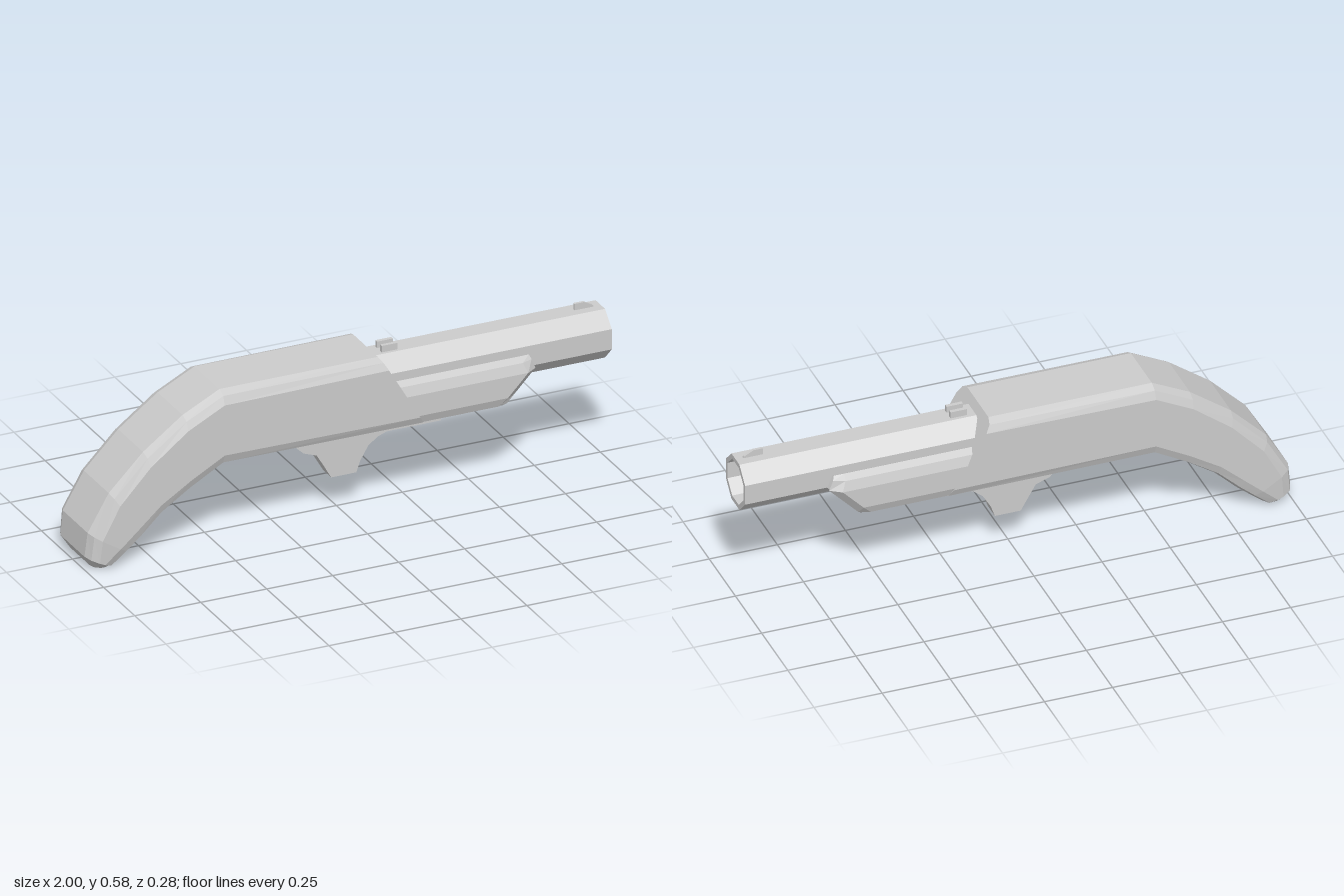
import * as THREE from 'three';

const material = new THREE.MeshStandardMaterial({ color: 0xcccccc, flatShading: true, side: THREE.DoubleSide });

function add(group, name, geometry) {
  const mesh = new THREE.Mesh(geometry, material);
  mesh.name = name;
  group.add(mesh);
  return mesh;
}

// Skin a list of matching sections running towards +x; the caps are cut from the 2D profile
function loft(sections, profile) {
  const pos = [];
  const tri = (...pts) => pts.forEach((p) => pos.push(p.x, p.y, p.z));
  const n = profile.length;
  for (let i = 0; i < sections.length - 1; i++) {
    for (let j = 0; j < n; j++) {
      const a = sections[i][j], b = sections[i][(j + 1) % n];
      const c = sections[i + 1][(j + 1) % n], d = sections[i + 1][j];
      tri(a, d, c);
      tri(a, c, b);
    }
  }
  const first = sections[0], last = sections[sections.length - 1];
  for (const [a, b, c] of THREE.ShapeUtils.triangulateShape(profile, [])) {
    tri(first[a], first[b], first[c]);
    tri(last[a], last[c], last[b]);
  }
  const g = new THREE.BufferGeometry();
  g.setAttribute('position', new THREE.Float32BufferAttribute(pos, 3));
  g.computeVertexNormals();
  return g;
}

// Close a half profile by mirroring it across the centre line
const mirrored = (half) => [...half, ...half.slice().reverse().map(([z, y]) => [-z, y])]
  .map(([z, y]) => new THREE.Vector2(z, y));

// The slanted shoulder where the stock steps down to the fore-end
const shoulderX = (y) => 0.11 + (0.585 - y) * 0.589;

function stockGeometry() {
  // Top x, top y, bottom x, bottom y, width factor
  const stations = [
    [-0.972, 0.005, -0.905, 0, 0.78],
    [-1, 0.05, -0.9, 0.005, 0.96],
    [-0.99, 0.14, -0.845, 0.05, 1],
    [-0.91, 0.275, -0.795, 0.092, 1],
    [-0.78, 0.405, -0.72, 0.165, 1],
    [-0.63, 0.515, -0.615, 0.235, 1],
    [-0.49, 0.585, -0.49, 0.305, 1],
    [0.11, 0.585, shoulderX(0.305), 0.305, 1],
  ];
  const edge = [[0.1, 0], [0.13, 0.014], [0.142, 0.045]]; // half width, distance from rim
  const sections = stations.map(([tx, ty, bx, by, w]) => {
    const top = new THREE.Vector2(tx, ty), bottom = new THREE.Vector2(bx, by);
    const length = top.distanceTo(bottom);
    const k = Math.min(1, length * 0.4 / 0.045);
    const at = (z, t) => {
      const p = bottom.clone().lerp(top, t);
      return new THREE.Vector3(p.x, p.y, z * w);
    };
    const right = [
      ...edge.map(([z, d]) => at(z, d * k / length)),
      ...edge.slice().reverse().map(([z, d]) => at(z, 1 - d * k / length)),
    ];
    const left = right.slice().reverse().map((p) => new THREE.Vector3(p.x, p.y, -p.z));
    return [...right, ...left];
  });
  return loft(sections, sections[6].map((p) => new THREE.Vector2(p.z, p.y)));
}

function foreEndGeometry() {
  // U-shaped profile that cradles the barrel
  const profile = mirrored([
    [0.1, 0.305], [0.13, 0.319], [0.142, 0.35], [0.142, 0.43],
    [0.13, 0.466], [0.104, 0.48], [0.097, 0.476], [0.094, 0.43], [0.094, 0.374],
  ]);
  const frontX = (y) => (y < 0.43 ? 0.58 + (y - 0.305) * 0.96 : 0.7 - (y - 0.43) * 0.4);
  const section = (x, maxZ) => profile.map((p) =>
    new THREE.Vector3(x(p.y), p.y, THREE.MathUtils.clamp(p.x, -maxZ, maxZ)));
  return loft([
    section(shoulderX, 1),
    section((y) => frontX(y) - 0.04, 1),
    section(frontX, 0.115),
  ], profile);
}

function octagon(radius, Type) {
  const pts = [];
  for (let i = 0; i < 8; i++) {
    const a = (i + 0.5) * Math.PI / 4;
    pts.push(new THREE.Vector2(radius * Math.cos(a), radius * Math.sin(a)));
  }
  return new Type(pts);
}

// Side profile in x and y, extruded evenly about z = 0
function slab(points, width) {
  const shape = new THREE.Shape(points.map(([x, y]) => new THREE.Vector2(x, y)));
  return new THREE.ExtrudeGeometry(shape, { depth: width, bevelEnabled: false }).translate(0, 0, -width / 2);
}

const rectangle = (x0, x1, z, Type) => new Type([[x0, -z], [x1, -z], [x1, z], [x0, z]]
  .map(([x, y]) => new THREE.Vector2(x, y)));

export function createModel() {
  const model = new THREE.Group();
  model.name = 'shortGun';

  add(model, 'stock', stockGeometry());
  add(model, 'foreEnd', foreEndGeometry());

  // Hollow eight-sided barrel
  const ring = octagon(0.1, THREE.Shape);
  ring.holes.push(octagon(0.0818, THREE.Path));
  add(model, 'barrel', new THREE.ExtrudeGeometry(ring, { depth: 0.87, bevelEnabled: false })
    .rotateY(Math.PI / 2).translate(0.13, 0.4675, 0));

  // Trigger block with a slotted bar ahead of it
  add(model, 'triggerBlock', slab([
    [-0.183, 0.31], [-0.183, 0.28], [-0.14, 0.24], [-0.09, 0.222], [-0.065, 0.18], [-0.035, 0.128],
    [0.06, 0.128], [0.075, 0.17], [0.105, 0.22], [0.14, 0.247], [0.175, 0.26], [0.175, 0.31],
  ], 0.066));
  const bar = rectangle(0.175, 0.38, 0.033, THREE.Shape);
  bar.holes.push(rectangle(0.22, 0.335, 0.014, THREE.Path));
  add(model, 'slottedBar', new THREE.ExtrudeGeometry(bar, { depth: 0.05, bevelEnabled: false })
    .rotateX(Math.PI / 2).translate(0, 0.31, 0));

  // Sights on top of the barrel
  for (const side of [-1, 1]) {
    add(model, side > 0 ? 'rearSightLeft' : 'rearSightRight',
      new THREE.BoxGeometry(0.06, 0.03, 0.014).translate(0.19, 0.569, side * 0.019));
  }
  add(model, 'frontSight', slab([[0.9, 0.555], [0.975, 0.555], [0.97, 0.566], [0.935, 0.584], [0.9, 0.584]], 0.01));

  return model;
}
